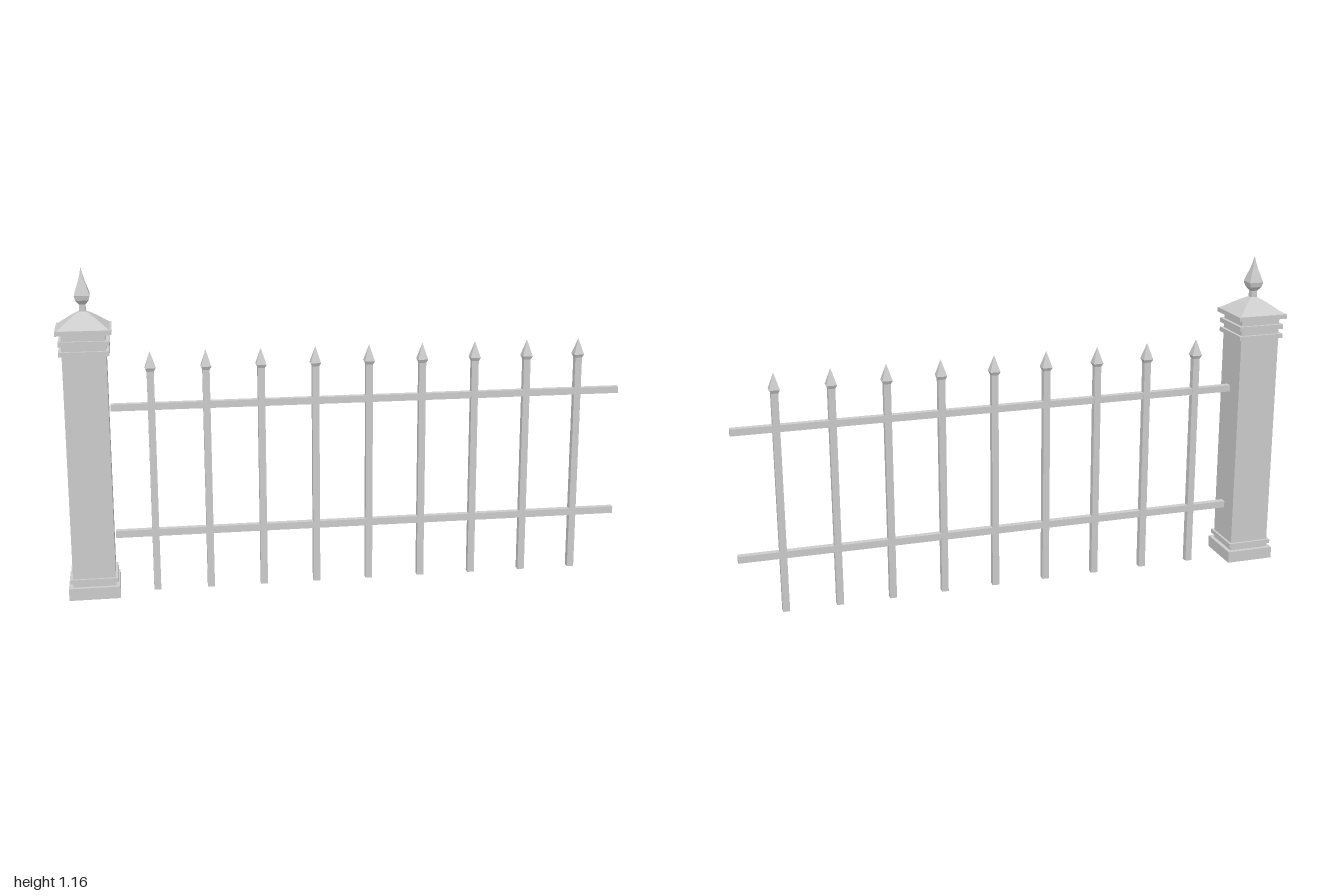
import * as THREE from 'three';

const material = new THREE.MeshStandardMaterial({ color: 0xcccccc, flatShading: true });

// Box given by centre x, half sizes and its bottom and top heights
function block(name, x, halfX, halfZ, y0, y1) {
  const mesh = new THREE.Mesh(new THREE.BoxGeometry(halfX * 2, y1 - y0, halfZ * 2), material);
  mesh.position.set(x, (y0 + y1) / 2, 0);
  mesh.name = name;
  return mesh;
}

// Square turned form: profile of [half width, height], swept around four sides
function squareLathe(name, x, profile) {
  const points = profile.map(([h, y]) => new THREE.Vector2(h * Math.SQRT2, y));
  const geometry = new THREE.LatheGeometry(points, 4, Math.PI / 4).toNonIndexed();
  geometry.computeVertexNormals();
  const mesh = new THREE.Mesh(geometry, material);
  mesh.position.x = x;
  mesh.name = name;
  return mesh;
}

function createPost() {
  const post = new THREE.Group();
  post.name = 'post';
  // Stacked square slabs: half width, bottom, top
  const slabs = [
    ['postBase', 0.089, 0.005, 0.048],
    ['baseMoulding', 0.083, 0.063, 0.078],
    ['postShaft', 0.074, 0.04, 0.95],
    ['lowerCollar', 0.085, 0.869, 0.885],
    ['upperCollar', 0.085, 0.903, 0.92],
    ['capSlab', 0.094, 0.942, 0.958],
  ];
  for (const [name, half, y0, y1] of slabs) post.add(block(name, 0, half, half, y0, y1));

  // Curved pyramid roof
  post.add(squareLathe('capRoof', 0, [
    [0, 0.956], [0.09, 0.956], [0.07, 0.971], [0.05, 0.986], [0.03, 1.0], [0.011, 1.011], [0, 1.011],
  ]));
  // Pointed bulb on a short neck
  post.add(squareLathe('finial', 0, [
    [0, 1.0], [0.011, 1.0], [0.011, 1.034], [0.022, 1.049], [0.026, 1.066],
    [0.019, 1.089], [0.01, 1.116], [0.005, 1.136], [0, 1.16],
  ]));
  post.position.x = -0.906;
  return post;
}

export function createModel() {
  const fence = new THREE.Group();
  fence.name = 'fenceSection';
  fence.add(createPost());

  // Horizontal rails
  fence.add(block('lowerRail', 0.0865, 0.9135, 0.0115, 0.201, 0.226));
  fence.add(block('upperRail', 0.0865, 0.9135, 0.0115, 0.66, 0.684));

  // Pickets with spear tips
  for (let i = 0; i < 9; i++) {
    const picket = new THREE.Group();
    picket.name = 'picket';
    picket.add(block('picketBar', 0, 0.0123, 0.0123, 0, 0.8));
    picket.add(squareLathe('picketTip', 0, [[0, 0.796], [0.0123, 0.796], [0.018, 0.808], [0, 0.866]]));
    picket.position.x = -0.687 + i * 0.1915;
    fence.add(picket);
  }
  return fence;
}
